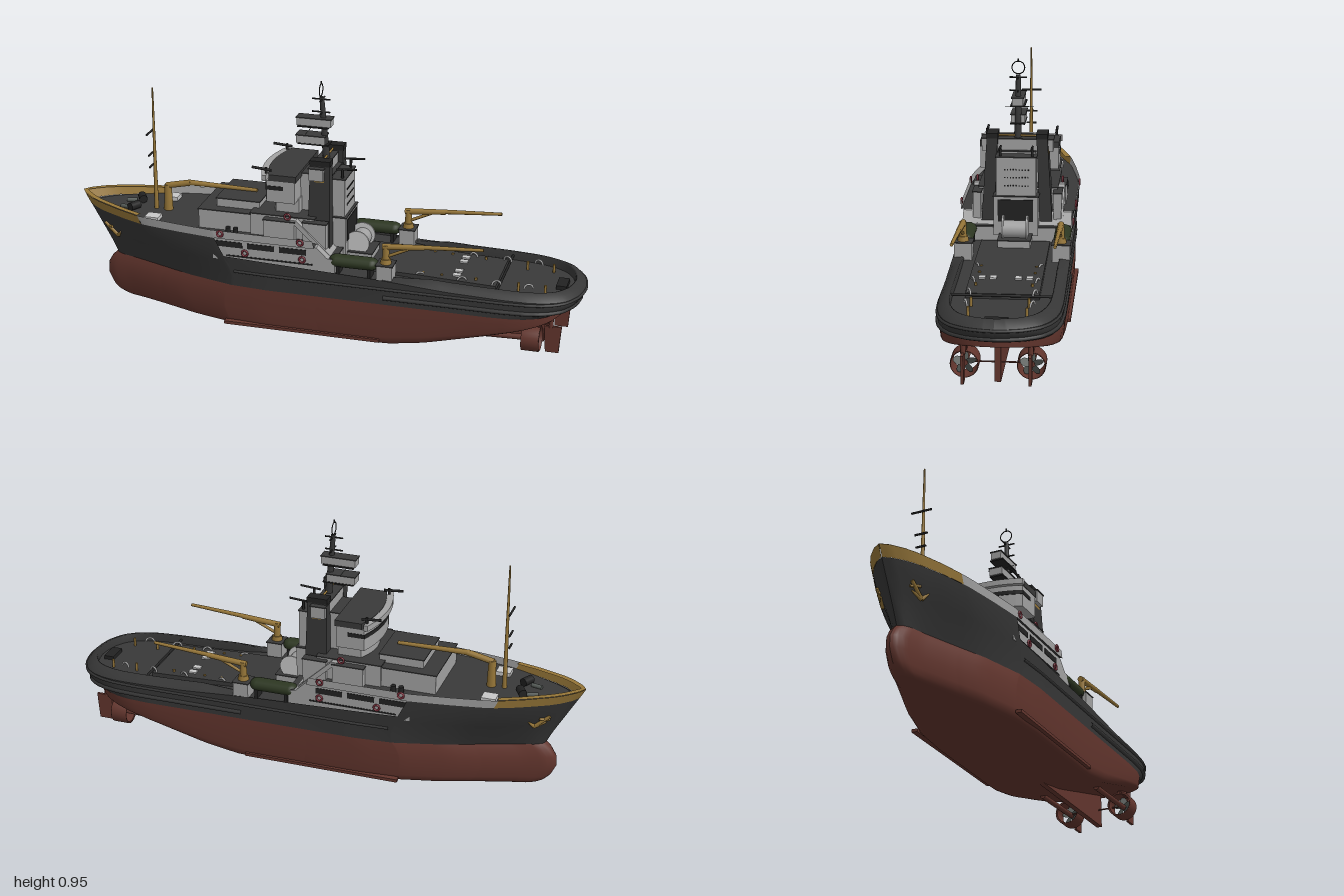
import * as THREE from 'three';

const mat = (name, color, side = THREE.FrontSide) =>
  Object.assign(new THREE.MeshStandardMaterial({ color, side }), { name });

// Piecewise linear lookup
const look = (tab, x) => {
  if (x <= tab[0][0]) return tab[0][1];
  for (let i = 1; i < tab.length; i++) {
    const [a, p] = tab[i - 1], [b, q] = tab[i];
    if (x <= b) return p + (q - p) * (x - a) / (b - a);
  }
  return tab[tab.length - 1][1];
};

// Hull lines: t runs 0..1 from bow (-x) to stern (+x)
const STEM = [[0, -0.82], [0.02, -0.865], [0.05, -0.895], [0.09, -0.91], [0.13, -0.905], [0.16, -0.885], [0.18, -0.862], [0.42, -1]];
const STERN = [[0.18, 0.93], [0.2, 0.975], [0.23, 0.998], [0.3, 0.992]];
const AFT = [[0.85, 0.217], [0.9, 0.212], [0.93, 0.2], [0.955, 0.18], [0.975, 0.15], [0.99, 0.1], [0.997, 0.055], [1, 0]];
const DECK = [[0, 0], [0.01, 0.03], [0.03, 0.065], [0.05, 0.09], [0.1, 0.135], [0.15, 0.17], [0.225, 0.196], [0.3, 0.217], ...AFT];
const WATER = [[0, 0], [0.004, 0.018], [0.02, 0.036], [0.06, 0.058], [0.12, 0.098], [0.2, 0.152], [0.3, 0.2], [0.38, 0.212], ...AFT];
const KEEL = [[0, 0.006], [0.64, 0.006], [0.72, 0.03], [0.88, 0.105], [1, 0.16]];
const SHEER = [[0, 0.382], [0.14, 0.372], [0.3, 0.372], [0.303, 0.3], [0.6, 0.278], [0.75, 0.258], [1, 0.246]];
const RAIL = [[0, 0.422], [0.14, 0.405], [0.5, 0.402]];
const WL = 0.178;

const hullX = (t, y) => look(STEM, y) + (look(STERN, y) - look(STEM, y)) * t;
const hullZ = (t, y) => {
  const k = Math.min(1, Math.max(0, (y - WL) / 0.16));
  return look(WATER, t) * (1 - k) + look(DECK, t) * k;
};
const hullPoint = (t, y, s, out = 0) => new THREE.Vector3(hullX(t, y), y, s * (hullZ(t, y) + out));

// Stations, closer together towards both ends
const stations = (a, b) => {
  const list = [a, b, 0.14, 0.3, 0.303, 0.5, 0.002, 0.998];
  for (let i = 0; i <= 64; i++) list.push((1 - Math.cos(Math.PI * i / 64)) / 2);
  return [...new Set(list)].filter(t => t >= a && t <= b).sort((p, q) => p - q);
};

// Surface through a grid of points
function grid(us, vs, f) {
  const pos = [], idx = [], n = vs.length;
  us.forEach((u, i) => vs.forEach((v, j) => {
    pos.push(...f(u, v));
    if (i && j) {
      const d = i * n + j, c = d - 1, b = d - n, a = b - 1;
      idx.push(a, c, b, b, c, d);
    }
  }));
  const g = new THREE.BufferGeometry();
  g.setAttribute('position', new THREE.Float32BufferAttribute(pos, 3));
  g.setIndex(idx);
  g.computeVertexNormals();
  return g;
}

export function createModel() {
  const ship = new THREE.Group();
  ship.name = 'tugboat';
  const D = THREE.DoubleSide;
  const black = mat('hullCharcoal', 0x363636, D), red = mat('antifoulingRed', 0x62352d, D);
  const grey = mat('houseGrey', 0xa2a2a2, D), yellow = mat('ochre', 0x967638, D);
  const deckMat = mat('deckGrey', 0x393939, D), dark = mat('fittingBlack', 0x222222);
  const green = mat('boatGreen', 0x2c3621), white = mat('paleGrey', 0xc8c8c8);
  const steel = mat('propellerSteel', 0x565c58, D), ringRed = mat('lifebuoyRed', 0x7a2e3a);

  const add = (name, geo, m, x = 0, y = 0, z = 0) => {
    const o = new THREE.Mesh(geo, m);
    o.name = name;
    o.position.set(x, y, z);
    ship.add(o);
    return o;
  };
  // Box from its limits
  const box = (name, m, x0, x1, y0, y1, z0, z1) =>
    add(name, new THREE.BoxGeometry(x1 - x0, y1 - y0, z1 - z0), m, (x0 + x1) / 2, (y0 + y1) / 2, (z0 + z1) / 2);
  // Grey box with a dark roof sheet
  const house = (name, x0, x1, y0, y1, z0, z1) => {
    box(name, grey, x0, x1, y0, y1, z0, z1);
    box(name + 'Roof', deckMat, x0 - 0.003, x1 + 0.003, y1, y1 + 0.004, z0 - 0.003, z1 + 0.003);
  };
  // Tapered round bar between two points
  const bar = (name, m, p, q, r0, r1 = r0, sides = 10) => {
    const a = new THREE.Vector3(...p), d = new THREE.Vector3(...q).sub(a);
    const o = add(name, new THREE.CylinderGeometry(r1, r0, d.length(), sides), m);
    o.position.copy(a).addScaledVector(d, 0.5);
    o.quaternion.setFromUnitVectors(new THREE.Vector3(0, 1, 0), d.normalize());
  };
  // Profile in x, y extruded between two z values
  const plate = (name, m, pts, z0, z1) => {
    const g = new THREE.ExtrudeGeometry(new THREE.Shape(pts.map(p => new THREE.Vector2(...p))), { depth: z1 - z0, bevelEnabled: false });
    add(name, g, m, 0, 0, z0);
  };
  const both = f => [1, -1].forEach(f);
  const span = (s, a, b) => s > 0 ? [a, b] : [-b, -a];

  // Underwater hull: [height fraction, breadth fraction] from keel to waterline
  const rows = [[0, 0], [0, 0.55], [0, 0.86], [0.03, 0.92], [0.09, 0.96], [0.2, 0.98], [0.45, 0.99], [0.7, 1], [0.88, 1], [1, 1]];
  const ring = [...rows.slice(1).reverse().map(r => [r[0], -r[1]]), ...rows];
  add('underwaterHull', grid(stations(0, 1), ring, (t, [v, w]) => {
    const yb = look(KEEL, t);
    return [hullX(t, 0.008 + v * (WL - 0.008)), yb + v * (WL - yb), w * look(WATER, t)];
  }), red);

  // Sides above the waterline and bulwarks
  const strip = (name, m, a, b, lo, hi, out = 0) => both(s => {
    const vs = [0, 0.25, 0.5, 0.75, 1];
    add(name, grid(stations(a, b), s > 0 ? vs : vs.reverse(), (t, v) =>
      hullPoint(t, lo(t) + v * (hi(t) - lo(t)), s, out).toArray()), m);
  });
  const sheer = t => look(SHEER, t), rail = t => look(RAIL, t);
  strip('topside', black, 0, 1, () => WL, sheer);
  strip('bowBulwark', yellow, 0, 0.14, sheer, rail, 0.001);
  strip('foreBulwark', grey, 0.14, 0.5, () => 0.372, rail);

  both(s => {
    // Broad capping on the bow bulwark
    add('bowCapping', grid(stations(0, 0.14), span(s, 0, 1).map(Math.abs), (t, v) => {
      const p = hullPoint(t, rail(t), s);
      return [p.x + 0.008 * v, p.y + 0.001, s * Math.max(0, Math.abs(p.z) - 0.02 * v)];
    }), yellow);
    // Stern bulwark sloping inwards to a crest, then down to the deck: [inset, rise]
    const steps = [[0, 0], [0.012, 0.014], [0.034, 0.027], [0.04, 0.024], [0.042, -0.012]];
    add('sternBulwark', grid(stations(0.62, 1), s > 0 ? steps : steps.reverse(), (t, [inset, rise]) => {
      const p = hullPoint(t, sheer(t), s), k = Math.min(1, (t - 0.62) / 0.1);
      return [0.3 + (p.x - 0.3) * (1 - inset / 0.7), p.y + rise * k, p.z * (1 - inset / 0.217)];
    }), black);
  });

  // Decks
  const deck = (name, a, b, h) => add(name, grid(stations(a, b), [1, 0, -1], (t, v) =>
    [hullX(t, h(t)), h(t), v * hullZ(t, h(t)) * 0.995]), deckMat);
  deck('foredeck', 0, 0.5, () => 0.376);
  deck('aftDeck', 0.4, 1, t => sheer(t) - 0.008);
  plate('raisedAftDeck', deckMat, [[0.1, 0.25], [0.68, 0.24], [0.68, 0.265], [0.4, 0.276], [0.1, 0.282]], -0.13, 0.13);

  // Rubbing fenders running round the stern
  for (const [y, a, r] of [[0.24, 0.31, 0.006], [0.205, 0.62, 0.009]]) {
    const ts = stations(a, 1), pts = ts.map(t => hullPoint(t, y, 1));
    ts.slice(0, -1).reverse().forEach(t => pts.push(hullPoint(t, y, -1)));
    add('fender', new THREE.TubeGeometry(new THREE.CatmullRomCurve3(pts), 160, r, 6), black);
  }

  // Skeg, bilge keels, nozzles, propellers, rudders
  plate('skeg', red, [[0.28, 0.006], [0.85, 0.006], [0.85, 0.15], [0.72, 0.12], [0.42, 0.045]], -0.011, 0.011);
  bar('nozzleBrace', red, [0.82, 0.068, -0.115], [0.82, 0.068, 0.115], 0.003);
  both(s => {
    const z = s * 0.115, y = 0.068;
    box('bilgeKeel', red, -0.35, 0.26, 0.02, 0.032, ...span(s, 0.195, 0.218));
    const profile = [[0.043, -0.032], [0.05, -0.034], [0.05, 0.03], [0.046, 0.034], [0.043, -0.032]].map(p => new THREE.Vector2(...p));
    add('nozzle', new THREE.LatheGeometry(profile, 32), red, 0.82, y, z).rotation.z = -Math.PI / 2;
    bar('propellerShaft', red, [0.55, 0.06, z], [0.84, y, z], 0.011);
    for (let i = 0; i < 5; i++) {
      const blade = new THREE.CircleGeometry(0.02, 12);
      blade.scale(0.75, 1, 1).translate(0, 0.022, 0).rotateY(Math.PI / 2 + 0.5).rotateX(i * Math.PI * 0.4);
      add('propellerBlade', blade, steel, 0.835, y, z);
    }
    box('nozzleStrut', red, 0.79, 0.85, 0.11, 0.15, z - 0.008, z + 0.008);
    plate('rudder', red, [[0.872, 0.02], [0.922, 0.02], [0.93, 0.125], [0.866, 0.125]], z - 0.005, z + 0.005);
    bar('rudderStock', red, [0.89, 0.12, z], [0.89, 0.165, z], 0.009);
  });

  // Main house on the hull sides, with openings and lifebuoys
  plate('mainHouse', grey, [[-0.392, 0.285], [0.085, 0.27], [0.085, 0.33], [0.055, 0.335], [0.015, 0.374], [-0.392, 0.374]], -0.207, 0.207);
  box('houseTop', deckMat, 0.015, 0.086, 0.328, 0.334, -0.205, 0.205);
  both(s => {
    for (let i = 0; i < 3; i++) box('sideOpening', dark, -0.38 + i * 0.125, -0.275 + i * 0.125, 0.338, 0.36, ...span(s, 0.205, 0.209));
    box('lowerOpening', dark, -0.34, 0.0, 0.3, 0.306, ...span(s, 0.205, 0.209));
    for (const [x, y, z] of [[-0.36, 0.392, 0.218], [-0.045, 0.392, 0.22], [-0.265, 0.32, 0.21], [-0.04, 0.32, 0.21], [-0.11, 0.468, 0.165]])
      add('lifebuoy', new THREE.TorusGeometry(0.011, 0.004, 8, 18), ringRed, x, y, s * z);
    // Sloping stair at the break of the house
    plate('stair', grey, [[-0.1, 0.46], [-0.075, 0.46], [0.085, 0.31], [0.06, 0.31]], ...span(s, 0.15, 0.175));
    house('sideLocker', -0.2, -0.08, 0.376, 0.45, ...span(s, 0.14, 0.178));
    house('funnelSide', -0.05, 0.04, 0.33, 0.45, ...span(s, 0.138, 0.168));
  });

  // Upper deckhouses
  house('foreHouse', -0.47, -0.24, 0.376, 0.45, -0.14, 0.14);
  house('foreHouseTop', -0.41, -0.24, 0.45, 0.485, -0.1, 0.1);
  house('upperHouse', -0.26, -0.01, 0.374, 0.46, -0.15, 0.15);
  house('aftHouse', -0.01, 0.095, 0.3, 0.45, -0.084, 0.084);
  box('winchRecess', dark, 0.092, 0.098, 0.355, 0.44, -0.065, 0.068);
  house('aftTower', 0.03, 0.088, 0.45, 0.6, -0.075, 0.075);
  for (let i = 0; i < 9; i++) for (const y of [0.49, 0.522, 0.552])
    box('towerVent', dark, 0.086, 0.09, y, y + 0.005, -0.048 + i * 0.011, -0.043 + i * 0.011);

  // Bridge with curved front, windows and parapet
  const bridgeShape = (front, back, w) => {
    const s = new THREE.Shape();
    s.moveTo(back, -w);
    s.lineTo(front + 0.03, -w);
    s.quadraticCurveTo(front - 0.03, 0, front + 0.03, w);
    s.lineTo(back, w);
    return s;
  };
  const slab = (name, m, front, back, w, y0, y1) => {
    const g = new THREE.ExtrudeGeometry(bridgeShape(front, back, w), { depth: y1 - y0, bevelEnabled: false, curveSegments: 12 });
    add(name, g, m, 0, y0, 0).rotation.x = -Math.PI / 2;
  };
  slab('bridgeBase', grey, -0.2, -0.08, 0.11, 0.46, 0.52);
  slab('bridge', grey, -0.225, -0.085, 0.15, 0.515, 0.6);
  slab('bridgeWindows', dark, -0.227, -0.13, 0.152, 0.564, 0.58);
  slab('bridgeParapet', grey, -0.24, -0.195, 0.158, 0.6, 0.622);
  slab('bridgeRoof', deckMat, -0.215, -0.08, 0.152, 0.6, 0.624);
  house('funnelBridge', -0.035, 0.02, 0.61, 0.655, -0.135, 0.135);
  house('towerCore', -0.1, 0.035, 0.46, 0.61, -0.07, 0.07);
  bar('funnelTieBar', yellow, [0, 0.667, -0.08], [0, 0.667, 0.08], 0.004);

  both(s => {
    // Funnel leaning inwards
    const g = new THREE.BoxGeometry(0.088, 0.35, 0.048), p = g.attributes.position;
    for (let i = 0; i < p.count; i++) {
      const k = (p.getY(i) + 0.175) / 0.35;
      p.setX(i, p.getX(i) * (1 - 0.15 * k));
      p.setZ(i, p.getZ(i) * (1 - 0.15 * k) + s * (0.111 - 0.018 * k));
    }
    g.computeVertexNormals();
    add('funnel', g, black, 0.002, 0.505, 0);
    box('funnelCap', dark, -0.038, 0.042, 0.662, 0.682, ...span(s, 0.072, 0.115));
    box('funnelPanel', yellow, -0.018, 0.02, 0.6, 0.625, ...span(s, 0.113, 0.119));
    // Water monitors
    bar('monitorPost', dark, [-0.2, 0.6, s * 0.135], [-0.2, 0.645, s * 0.135], 0.005);
    bar('monitorBarrel', dark, [-0.255, 0.642, s * 0.135], [-0.18, 0.636, s * 0.135], 0.005);
    bar('aftMonitorPost', dark, [0.075, 0.6, s * 0.06], [0.075, 0.64, s * 0.06], 0.005);
    bar('aftMonitorBarrel', dark, [0.05, 0.636, s * 0.06], [0.13, 0.642, s * 0.06], 0.004);
  });

  // Main mast with platforms, yards and ring aerial
  bar('mainMast', black, [0.0, 0.6, 0], [-0.022, 0.895, 0], 0.016, 0.009, 8);
  house('lowerMastPlatform', -0.115, -0.005, 0.715, 0.743, -0.026, 0.026);
  house('upperMastPlatform', -0.115, 0.018, 0.783, 0.811, -0.021, 0.021);
  for (const y of [0.71, 0.778]) box('mastFloor', dark, -0.11, 0.01, y, y + 0.005, -0.028, 0.028);
  bar('radarScanner', steel, [-0.07, 0.762, -0.055], [-0.07, 0.762, 0.055], 0.0015);
  for (const y of [0.836, 0.886]) {
    bar('yard', dark, [-0.02, y, -0.033], [-0.02, y, 0.033], 0.003);
    bar('yardStay', dark, [-0.06, y, 0], [0.01, y, 0], 0.003);
  }
  add('ringAerial', new THREE.TorusGeometry(0.024, 0.002, 8, 28), dark, -0.025, 0.922, 0).rotation.y = Math.PI / 2;
  bar('aerialTip', dark, [-0.025, 0.944, 0], [-0.025, 0.956, 0], 0.003);

  // Foremast and fore crane
  bar('foremast', yellow, [-0.695, 0.376, 0], [-0.695, 0.87, 0], 0.009, 0.003);
  for (const [y, w] of [[0.69, 0.04], [0.6, 0.025], [0.55, 0.02]]) bar('foremastYard', dark, [-0.71, y, -w], [-0.71, y, w], 0.004);
  bar('foreCranePost', yellow, [-0.645, 0.376, 0], [-0.645, 0.48, 0], 0.018, 0.014);
  bar('foreCraneBoom', yellow, [-0.65, 0.475, 0], [-0.55, 0.497, 0], 0.012);
  bar('foreCraneJib', yellow, [-0.56, 0.497, 0], [-0.28, 0.494, 0], 0.011, 0.007);

  // Foredeck gear and anchors
  both(s => {
    box('foreHatch', white, -0.695, -0.64, 0.376, 0.392, ...span(s, 0.085, 0.135));
    const drum = add('windlass', new THREE.CylinderGeometry(0.016, 0.016, 0.045, 14), dark, -0.77, 0.395, s * 0.045);
    drum.rotation.set(Math.PI / 2, 0, s * 0.5);
    bar('chainStopper', steel, [-0.83, 0.384, s * 0.03], [-0.79, 0.384, s * 0.04], 0.008);
    for (const x of [-0.345, -0.315]) bar('foreBollard', dark, [x, 0.376, s * 0.165], [x, 0.4, s * 0.165], 0.01);
    const at = (t, y) => hullPoint(t, y, s, 0.004).toArray();
    bar('anchorShank', yellow, at(0.03, 0.322), at(0.045, 0.275), 0.007);
    bar('anchorStock', yellow, at(0.026, 0.305), at(0.045, 0.312), 0.005);
    bar('anchorFluke', yellow, at(0.045, 0.275), at(0.028, 0.292), 0.008, 0.003);
    bar('anchorFluke', yellow, at(0.045, 0.275), at(0.06, 0.297), 0.008, 0.003);
  });

  // Towing winch
  const turn = o => { o.rotation.x = Math.PI / 2; };
  turn(add('winchDrum', new THREE.CylinderGeometry(0.034, 0.034, 0.085, 24), grey, 0.13, 0.335, 0));
  for (const z of [-0.045, 0.045]) turn(add('winchFlange', new THREE.CylinderGeometry(0.047, 0.047, 0.006, 28), white, 0.13, 0.342, z));
  house('winchBed', 0.09, 0.19, 0.27, 0.305, -0.06, 0.06);

  // Lifeboats and aft cranes
  both(s => {
    const z = s * 0.18;
    const boat = new THREE.CapsuleGeometry(0.03, 0.13, 8, 16);
    boat.rotateZ(Math.PI / 2).scale(1, 0.8, 1.05);
    add('lifeboat', boat, green, 0.152, 0.322, z);
    for (const x of [0.09, 0.21]) box('boatCradle', dark, x, x + 0.012, 0.265, 0.31, z - 0.025, z + 0.025);
    house('craneBase', 0.245, 0.305, 0.25, 0.328, z - 0.035, z + 0.03);
    bar('craneFoot', yellow, [0.275, 0.33, z], [0.275, 0.35, z], 0.022, 0.018);
    bar('cranePost', yellow, [0.275, 0.345, z], [0.275, 0.405, z], 0.014, 0.012);
    bar('craneBoom', yellow, [0.262, 0.397, z], [0.42, 0.41, z], 0.012, 0.01);
    bar('craneJib', yellow, [0.4, 0.41, z], [0.64, 0.426, z], 0.009, 0.006);
    bar('craneRam', yellow, [0.28, 0.36, z], [0.37, 0.402, z], 0.006);
    // Small bollards and towing hoops along the aft deck
    for (const x of [0.4, 0.47, 0.6, 0.76, 0.86]) bar('aftBollard', yellow, [x, 0.245, s * 0.1], [x, 0.278, s * 0.1], 0.005);
    for (const x of [0.39, 0.55, 0.68, 0.8])
      add('towHoop', new THREE.TorusGeometry(0.017, 0.004, 8, 16, Math.PI), grey, x, 0.265, s * 0.115).rotation.y = 0.4 * s;
  });

  // Deck lockers and stern gear
  for (const z of [-0.085, -0.045, 0.045, 0.085]) box('deckLocker', white, 0.51, 0.54, 0.265, 0.277, z - 0.012, z + 0.012);
  bar('towRail', dark, [0.69, 0.262, -0.18], [0.69, 0.262, 0.18], 0.005);
  box('sternRoller', dark, 0.89, 0.93, 0.235, 0.255, -0.04, 0.04);
  return ship;
}
